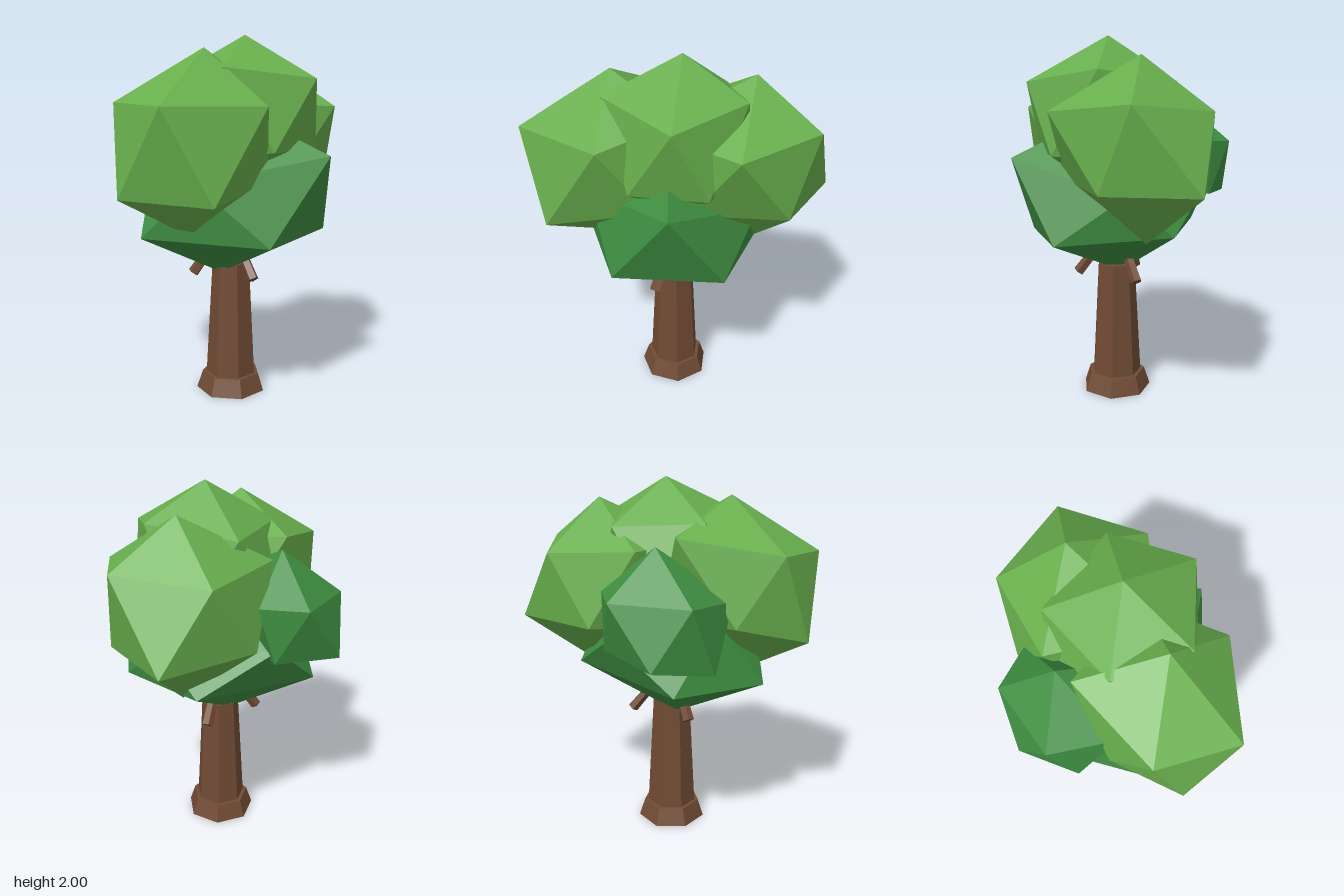
import * as THREE from 'three';
import { ConvexGeometry } from 'three/addons/geometries/ConvexGeometry.js';

const material = (name, color) => {
  const m = new THREE.MeshStandardMaterial({ color, flatShading: true });
  m.name = name;
  return m;
};

export function createModel() {
  const bark = material('bark brown', 0x704b34);
  const lightLeaf = material('light leaf green', 0x67ae4c);
  const darkLeaf = material('dark leaf green', 0x3e8e41);
  const tree = new THREE.Group();
  tree.name = 'tree';

  const add = (name, geometry, mat) => {
    const mesh = new THREE.Mesh(geometry, mat);
    mesh.name = name;
    tree.add(mesh);
    return mesh;
  };

  // Faceted 20-sided clump: corners without a listed opposite are mirrored through the centre
  const clump = (name, mat, centre, corners) => {
    const c = new THREE.Vector3(...centre);
    const points = corners.map((p) => new THREE.Vector3(...p));
    for (const p of [...points]) {
      const opposite = c.clone().multiplyScalar(2).sub(p);
      if (!points.some((q) => q.distanceTo(opposite) < 0.25)) points.push(opposite);
    }
    add(name, new ConvexGeometry(points), mat);
  };

  // Seven-sided tapering trunk and its flared foot
  const column = (name, top, bottom, y0, y1) => {
    const g = new THREE.CylinderGeometry(top, bottom, y1 - y0, 7);
    g.rotateY(THREE.MathUtils.degToRad(29));
    add(name, g, bark).position.set(0.01, (y0 + y1) / 2, 0.04);
  };
  column('trunk', 0.107, 0.143, 0.09, 0.75);
  column('rootFlare', 0.165, 0.198, 0, 0.1);

  // Three slanted branch stubs leading up into the crown
  const up = new THREE.Vector3(0, 1, 0);
  [[-0.17, -0.08], [-0.015, 0.255], [0.21, -0.07]].forEach(([x, z], i) => {
    const tip = new THREE.Vector3(x, 0.69, z);
    const inner = new THREE.Vector3(x * 0.2, 0.92, 0.035 + (z - 0.035) * 0.2);
    const g = new THREE.CylinderGeometry(0.024, 0.032, tip.distanceTo(inner), 5);
    const branch = add(`branch${i + 1}`, g, bark);
    branch.position.lerpVectors(tip, inner, 0.5);
    branch.quaternion.setFromUnitVectors(up, inner.sub(tip).normalize());
  });

  // Shaded lower foliage
  clump('lowerFoliage', darkLeaf, [-0.02, 1.15, 0.05], [
    [0.21, 1.37, 0.59], [-0.14, 0.92, 0.52], [0.42, 0.94, 0.36],
    [-0.57, 0.95, 0.01], [-0.04, 0.69, 0.01], [-0.27, 0.95, -0.42],
    [0.44, 0.99, -0.25], [0.47, 1.2, 0], [0.08, 1.22, -0.46],
    [-0.4, 1.24, 0.25], [-0.38, 1.3, -0.16],
  ]);
  clump('backFoliage', darkLeaf, [-0.18, 1.33, -0.3], [
    [-0.1, 1.68, -0.31], [0, 1.44, -0.59], [-0.4, 1.43, -0.47],
    [-0.44, 1.41, -0.12], [-0.25, 1.13, -0.6], [-0.46, 1.08, -0.34],
    [0.11, 1.16, -0.47], [0.17, 1.45, -0.4],
  ]);

  // Sunlit upper foliage
  clump('topFoliage', lightLeaf, [0.06, 1.585, 0.1], [
    [0.07, 2, 0.08], [0.43, 1.82, 0.13], [0.19, 1.76, 0.5],
    [-0.27, 1.81, 0.3], [0.18, 1.76, -0.28], [-0.27, 1.78, -0.1],
    [0.33, 1.39, 0.37], [-0.06, 1.39, 0.46],
  ]);
  clump('rightFoliage', lightLeaf, [-0.335, 1.44, 0.15], [
    [-0.28, 1.91, 0.17], [-0.68, 1.64, -0.04], [-0.7, 1.62, 0.39],
    [-0.18, 1.62, 0.54], [-0.5, 1.16, 0.53], [-0.765, 1.18, 0.12],
    [-0.19, 1.72, -0.26], [-0.37, 0.96, 0.16], [-0.49, 1.28, -0.18],
  ]);
  clump('leftFoliage', lightLeaf, [0.35, 1.44, -0.06], [
    [0.4, 1.89, -0.08], [0.76, 1.66, -0.02], [0.48, 1.62, 0.37],
    [0.49, 1.62, -0.43], [0.75, 1.24, -0.35], [0.67, 1.24, 0.13],
    [0.41, 0.95, -0.11], [0, 1.65, -0.34], [0.22, 1.25, -0.45],
  ]);

  return tree;
}
